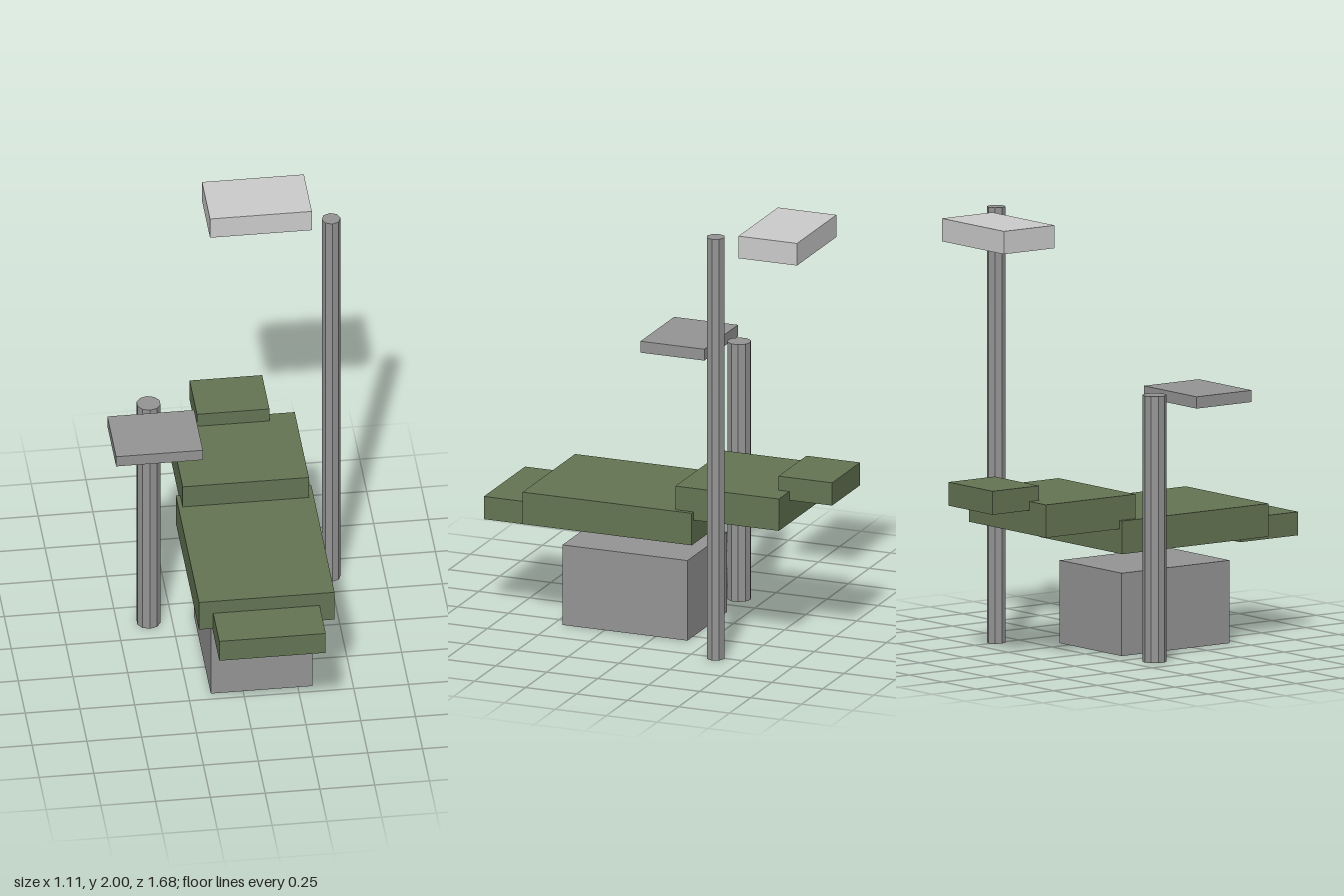
import * as THREE from 'three';

const mat = (color) => new THREE.MeshStandardMaterial({ color, flatShading: true });

export function createModel() {
  const group = new THREE.Group();
  const pad = mat(0x637453), metal = mat(0x949494), light = mat(0xcccccc);

  // Box given by its extents along each axis
  const box = (name, material, [x0, x1], [y0, y1], [z0, z1]) => {
    const mesh = new THREE.Mesh(new THREE.BoxGeometry(x1 - x0, y1 - y0, z1 - z0), material);
    mesh.position.set((x0 + x1) / 2, (y0 + y1) / 2, (z0 + z1) / 2);
    mesh.name = name;
    group.add(mesh);
  };

  // Upright post standing on the floor
  const post = (name, x, z, radius, height, sides) => {
    const mesh = new THREE.Mesh(new THREE.CylinderGeometry(radius, radius, height, sides), metal);
    mesh.position.set(x, height / 2, z);
    mesh.name = name;
    group.add(mesh);
  };

  // Chair: pedestal and stepped cushions
  box('pedestal', metal, [-0.147, 0.318], [0, 0.38], [-0.156, 0.457]);
  box('footRest', pad, [-0.157, 0.329], [0.459, 0.567], [0.51, 0.838]);
  box('seat', pad, [-0.222, 0.397], [0.482, 0.634], [-0.21, 0.62]);
  box('backRest', pad, [-0.202, 0.374], [0.595, 0.746], [-0.12, -0.628]
    .sort((a, b) => a - b));
  box('headRest', pad, [-0.079, 0.252], [0.705, 0.813], [-0.838, -0.575]);

  // Lamp and its tall post
  post('lampPost', 0.508, -0.373, 0.043, 2, 8);
  box('lamp', light, [-0.035, 0.43], [1.885, 1.99], [-0.74, -0.453]);

  // Instrument tray and its post
  post('trayPost', -0.357, -0.129, 0.055, 1.222, 10);
  box('tray', metal, [-0.556, -0.16], [1.176, 1.23], [-0.04, 0.273]);

  return group;
}
